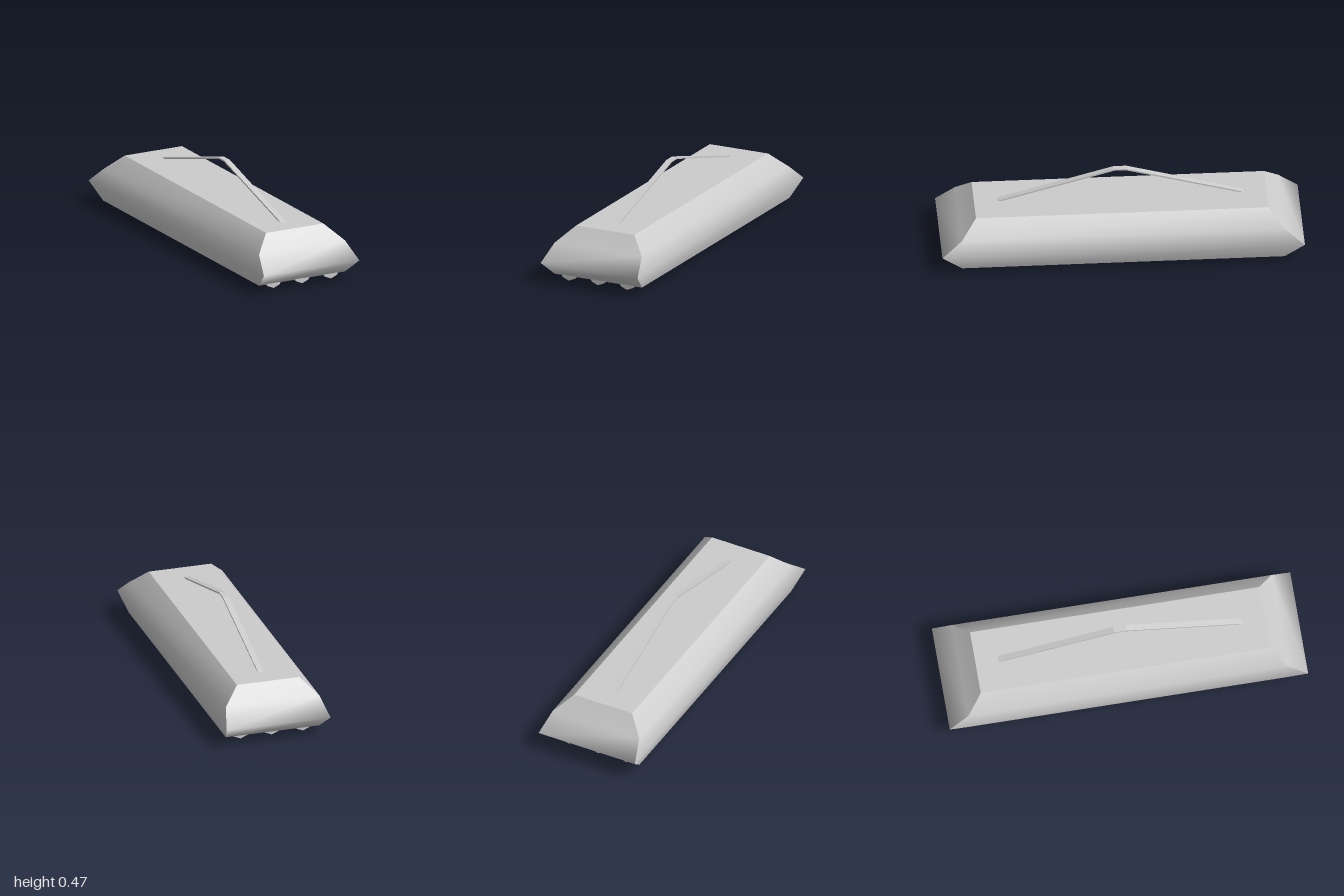
import * as THREE from 'three';

const material = new THREE.MeshStandardMaterial({ color: 0xcccccc });
const thin = new THREE.MeshStandardMaterial({ color: 0xcccccc, side: THREE.DoubleSide });

// Rectangular rings of the housing: height, half width, half length
const RINGS = [
  [0.025, 0.27, 0.89],
  [0.115, 0.3, 1],
  [0.205, 0.27, 0.89],
  [0.293, 0.18, 0.807],
];
const CORNERS = [[1, 1], [1, -1], [-1, -1], [-1, 1]];

function surface(positions, indices) {
  const g = new THREE.BufferGeometry();
  g.setAttribute('position', new THREE.Float32BufferAttribute(positions, 3));
  g.setIndex(indices);
  g.computeVertexNormals();
  return g;
}

function add(group, name, geometry, mat = material) {
  const mesh = new THREE.Mesh(geometry, mat);
  mesh.name = name;
  group.add(mesh);
  return mesh;
}

// One side of the housing: smooth up its height, sharp at the corners
function wallGeometry(side) {
  const a = CORNERS[side], b = CORNERS[(side + 1) % 4];
  const positions = [], indices = [];
  RINGS.forEach(([y, w, l], i) => {
    positions.push(a[0] * w, y, a[1] * l, b[0] * w, y, b[1] * l);
    if (i > 0) {
      const k = 2 * i;
      indices.push(k - 2, k - 1, k + 1, k - 2, k + 1, k);
    }
  });
  return surface(positions, indices);
}

// Bent hanger strap, drawn in the length-height plane
function strapGeometry() {
  const shape = new THREE.Shape();
  [[-0.69, 0.29], [-0.035, 0.472], [0.035, 0.472], [0.69, 0.29],
    [0.66, 0.29], [0.03, 0.464], [-0.03, 0.464], [-0.66, 0.29]]
    .forEach(([z, y], i) => (i ? shape.lineTo(z, y) : shape.moveTo(z, y)));
  const g = new THREE.ExtrudeGeometry(shape, { depth: 0.034, bevelEnabled: false });
  g.translate(0, 0, -0.017);
  g.rotateY(-Math.PI / 2);
  return g;
}

export function createModel() {
  const model = new THREE.Group();
  model.name = 'hangingTubeLamp';

  // Housing, open underneath
  const housing = new THREE.Group();
  housing.name = 'housing';
  ['leftWall', 'backWall', 'rightWall', 'frontWall']
    .forEach((name, i) => add(housing, name, wallGeometry(i), thin));
  const [top, w, l] = RINGS[3];
  const corners = CORNERS.flatMap(([x, z]) => [x * w, top, z * l]);
  add(housing, 'topPanel', surface(corners, [0, 1, 2, 0, 2, 3]), thin);
  model.add(housing);

  // Three eight-sided light tubes
  const r = 0.054;
  const tube = new THREE.CylinderGeometry(r, r, 1.77, 8);
  tube.rotateX(Math.PI / 2);
  for (const x of [-0.18, 0, 0.18]) {
    add(model, 'lightTube', tube).position.set(x, r, 0.01);
  }

  add(model, 'hangerStrap', strapGeometry());
  return model;
}
